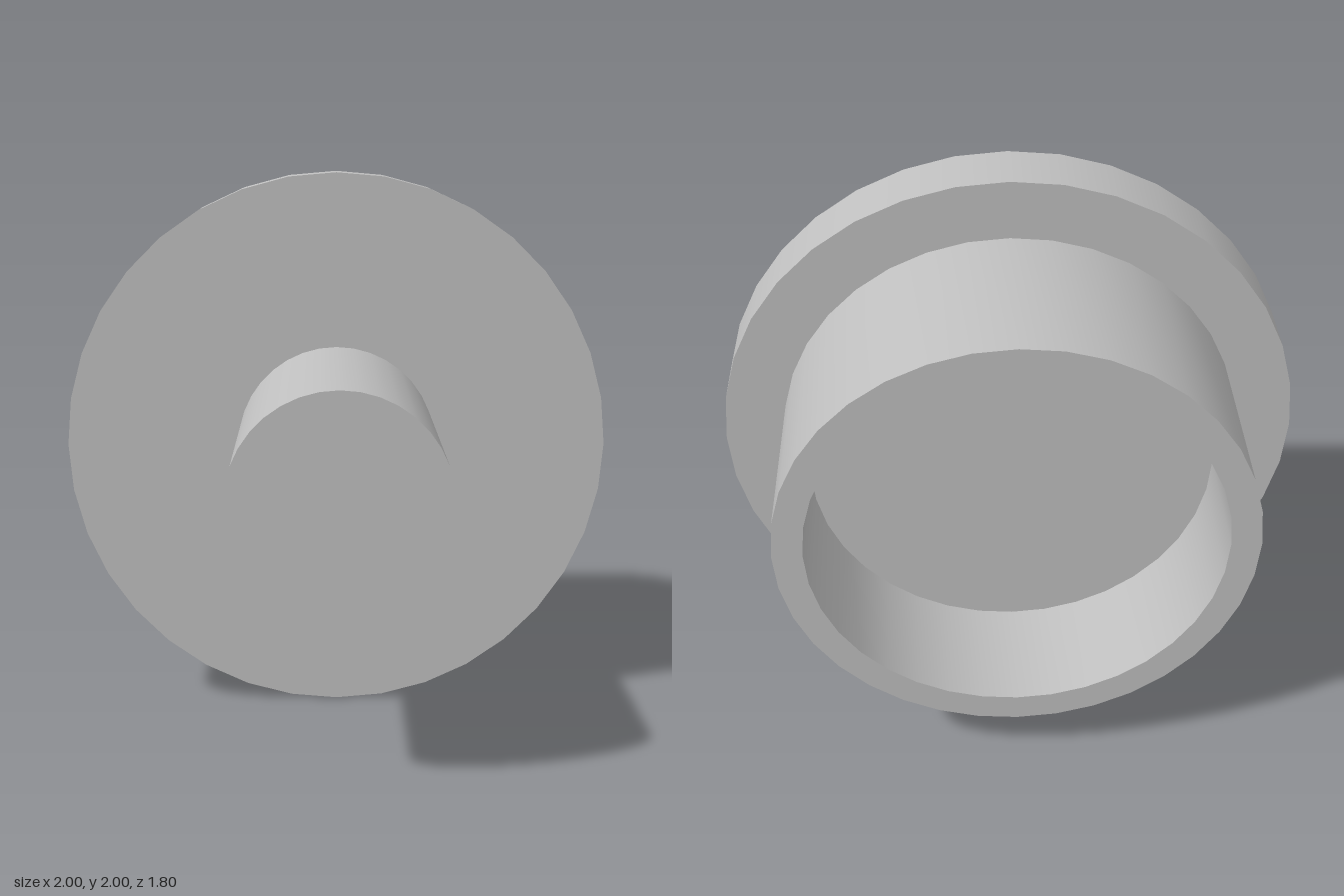
import * as THREE from 'three';
import { toCreasedNormals } from 'three/addons/utils/BufferGeometryUtils.js';

const SIDES = 36;

export function createModel() {
  const group = new THREE.Group();
  const grey = new THREE.MeshStandardMaterial({ color: 0xbfbfbf });
  grey.name = 'plainGrey';

  // All parts are turned about the z axis at height 1
  const add = (name, geometry, z) => {
    const mesh = new THREE.Mesh(geometry.rotateX(Math.PI / 2), grey);
    mesh.name = name;
    mesh.position.set(0, 1, z);
    group.add(mesh);
  };
  const disc = (name, radius, back, front) =>
    add(name, new THREE.CylinderGeometry(radius, radius, front - back, SIDES), (front + back) / 2);

  disc('stem', 0.365, -0.065, 0.9);
  disc('flange', 1, -0.272, -0.065);
  // Recessed floor of the cup
  disc('cupFloor', 0.7, -0.48, -0.272);

  // Hollow wall open at the back
  const inner = 0.692, outer = 0.793, back = -0.9, front = -0.272;
  const profile = [[inner, back], [outer, back], [outer, front], [inner, front], [inner, back]]
    .map(([r, y]) => new THREE.Vector2(r, y));
  add('cupWall', toCreasedNormals(new THREE.LatheGeometry(profile, SIDES), 0.6), 0);

  return group;
}
